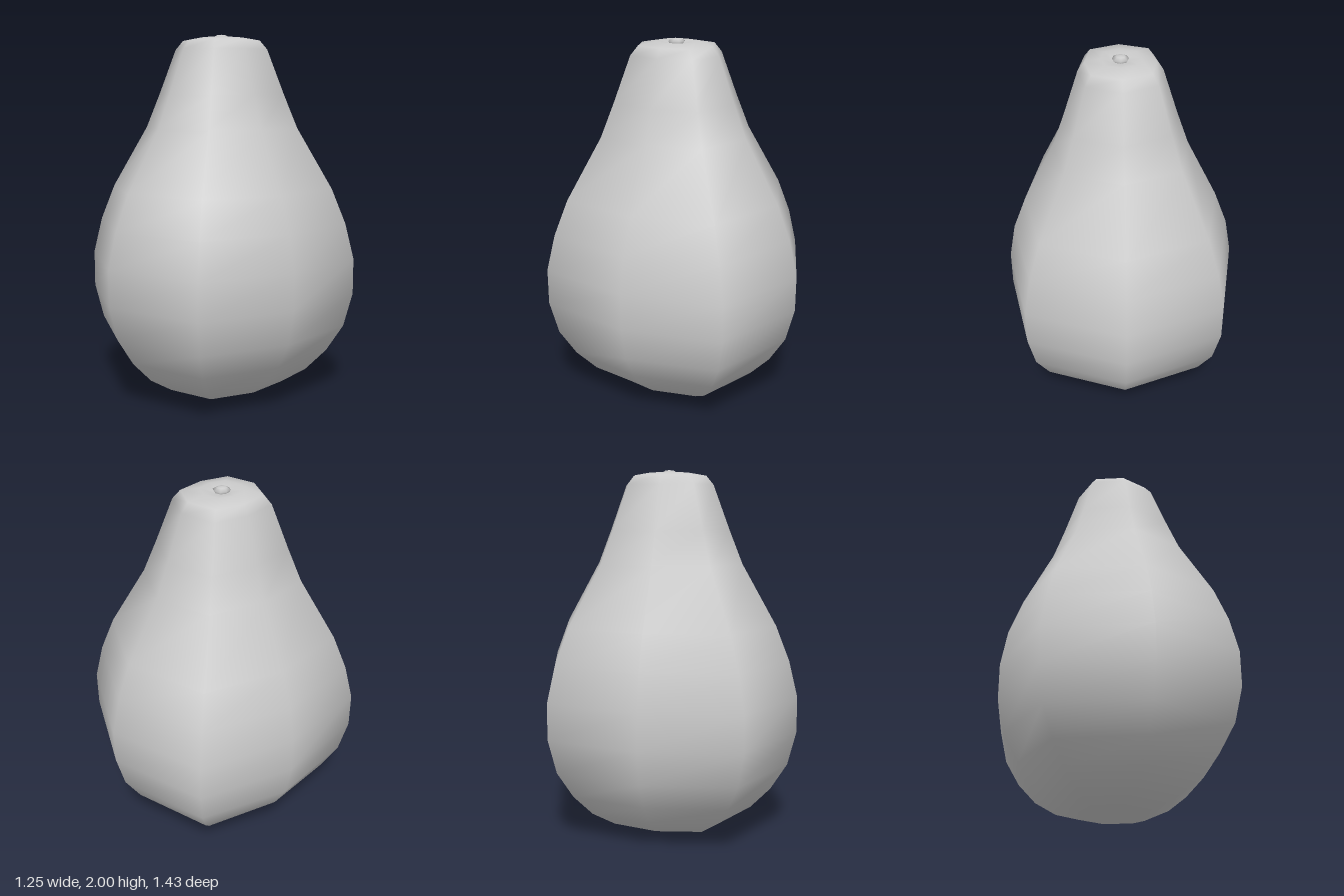
import * as THREE from 'three';

const material = new THREE.MeshStandardMaterial({ color: 0xcccccc });

// Rings from bottom to top: [height, half width in x, half depth in z]
const bodyRings = [
  [0.022, 0.185, 0.20], [0.065, 0.30, 0.34], [0.145, 0.40, 0.47], [0.26, 0.505, 0.58],
  [0.405, 0.59, 0.67], [0.59, 0.627, 0.717], [0.785, 0.627, 0.717], [0.98, 0.592, 0.67],
  [1.17, 0.52, 0.595], [1.5, 0.355, 0.407], [1.68, 0.292, 0.335], [1.92, 0.215, 0.245],
  [1.968, 0.18, 0.205], [1.985, 0.10, 0.11], [1.975, 0.05, 0.05],
];
const stemRings = [[1.96, 0.03, 0.03], [1.985, 0.042, 0.045], [1.997, 0.022, 0.024]];

// Smooth eight-sided skin over the rings, closed by a point at each end
function loft(name, rings, bottomY, topY) {
  const sides = 8;
  const points = [];
  const index = [];
  for (const [y, w, d] of rings) {
    const c = 0.727 * d; // corner columns sit at equal x and z
    points.push(0, y, d, c, y, c, w, y, 0, c, y, -c, 0, y, -d, -c, y, -c, -w, y, 0, -c, y, c);
  }
  const bottom = rings.length * sides;
  const top = bottom + 1;
  const last = bottom - sides;
  points.push(0, bottomY, 0, 0, topY, 0);
  for (let j = 0; j < sides; j++) {
    const k = (j + 1) % sides;
    for (let r = 0; r < last; r += sides) {
      index.push(r + j, r + k, r + sides + k, r + j, r + sides + k, r + sides + j);
    }
    index.push(bottom, k, j, top, last + j, last + k);
  }
  const geometry = new THREE.BufferGeometry();
  geometry.setAttribute('position', new THREE.Float32BufferAttribute(points, 3));
  geometry.setIndex(index);
  geometry.computeVertexNormals();
  const mesh = new THREE.Mesh(geometry, material);
  mesh.name = name;
  return mesh;
}

export function createModel() {
  const fruit = new THREE.Group();
  fruit.name = 'fruit';
  fruit.add(loft('fruitBody', bodyRings, 0.005, 1.968));
  fruit.add(loft('stem', stemRings, 1.955, 2.0));
  return fruit;
}
